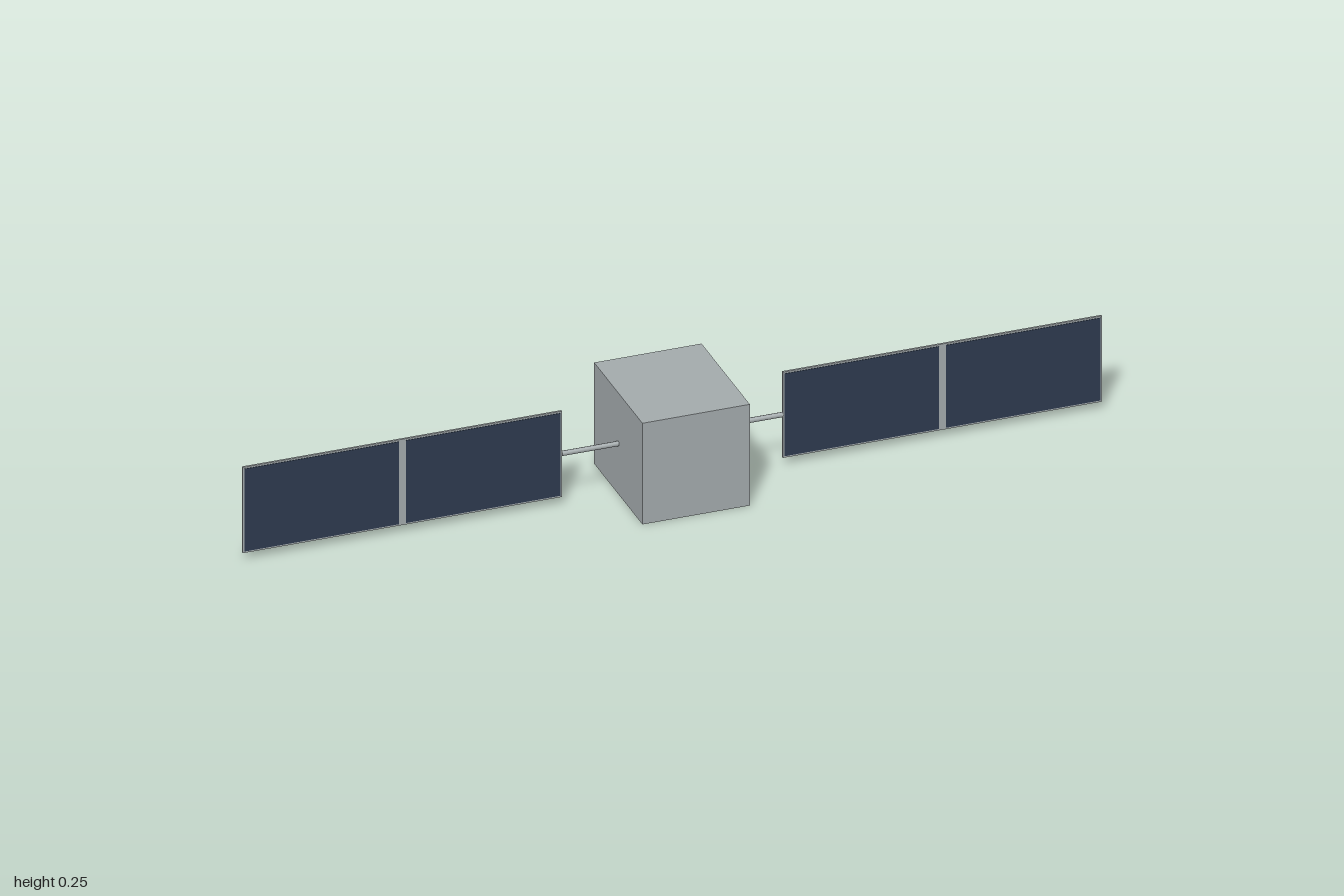
import * as THREE from 'three';

export function createModel() {
  const model = new THREE.Group();
  model.name = 'satellite';

  const metal = new THREE.MeshStandardMaterial({ color: 0xa3aaac });
  metal.name = 'grey metal';
  const cellBlue = new THREE.MeshStandardMaterial({ color: 0x2d3a4e });
  cellBlue.name = 'dark blue cells';

  const MID = 0.125;              // height of the shared axis
  const INNER = 0.257, OUTER = 1; // panel extent along x
  const HEIGHT = 0.212, THICK = 0.005;
  const BORDER = 0.004, GAP = 0.016;

  const add = (parent, name, geometry, material, x, y, z) => {
    const mesh = new THREE.Mesh(geometry, material);
    mesh.name = name;
    mesh.position.set(x, y, z);
    parent.add(mesh);
    return mesh;
  };

  // Main body
  add(model, 'body', new THREE.BoxGeometry(0.25, 0.25, 0.3), metal, 0, MID, 0);

  const length = OUTER - INNER;
  const centre = (OUTER + INNER) / 2;
  const cellLength = (length - GAP) / 2 - BORDER;

  for (const side of [1, -1]) {
    const wing = new THREE.Group();
    wing.name = side > 0 ? 'leftWing' : 'rightWing';
    model.add(wing);

    // Boom from the body to the panel
    const boom = new THREE.CylinderGeometry(0.006, 0.006, INNER - 0.12, 8);
    boom.rotateZ(Math.PI / 2);
    add(wing, 'boom', boom, metal, side * (INNER + 0.12) / 2, MID, 0);

    // Backing panel
    add(wing, 'panel', new THREE.BoxGeometry(length, HEIGHT, THICK), metal, side * centre, MID, 0);

    // Two solar cell plates on the front
    for (const half of [-1, 1]) {
      const x = centre + half * (GAP + cellLength) / 2;
      add(wing, 'solarCells', new THREE.BoxGeometry(cellLength, HEIGHT - 2 * BORDER, 0.001),
        cellBlue, side * x, MID, THICK / 2 + 0.0005);
    }
  }
  return model;
}
